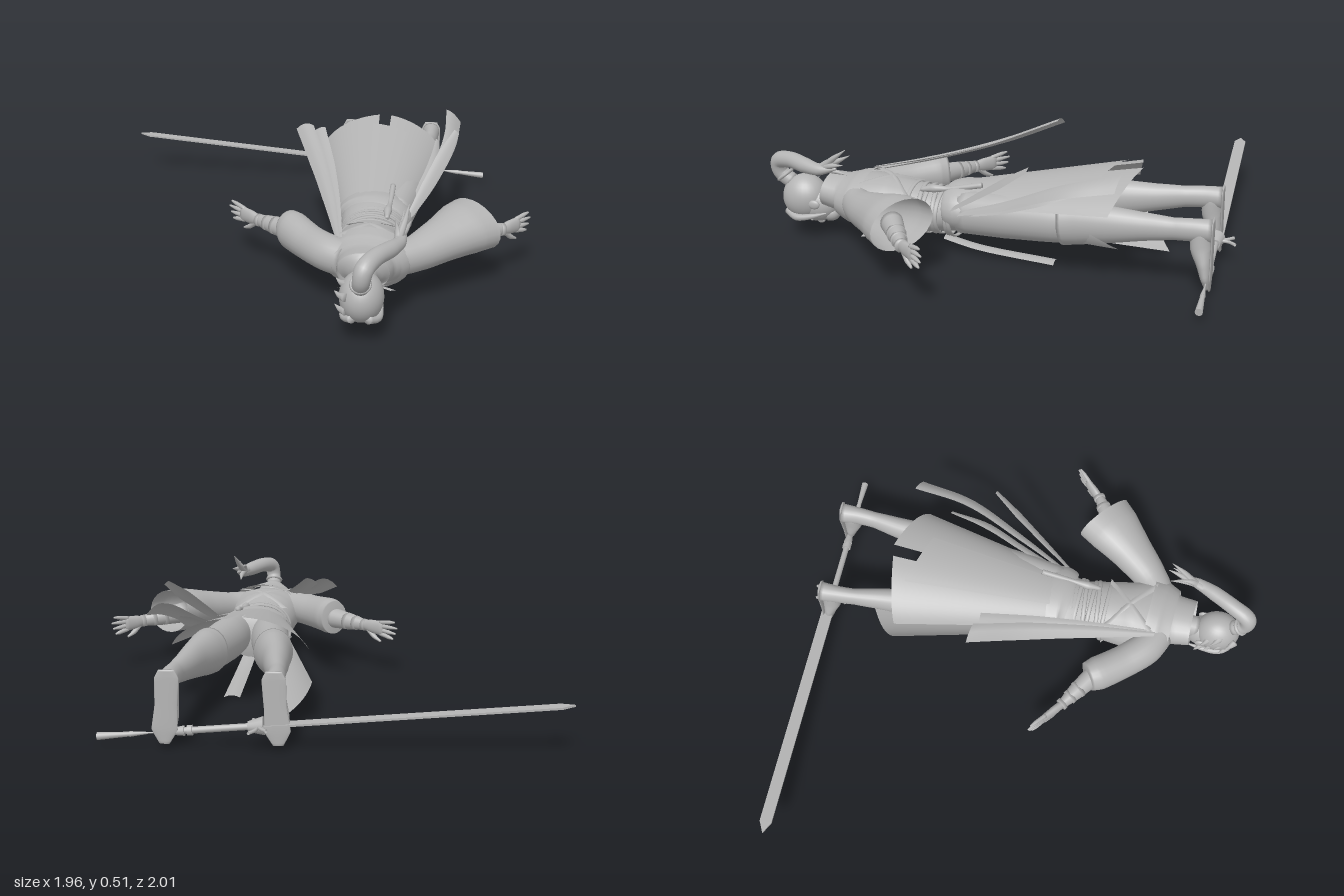
import * as THREE from 'three';

const V = (x, y, z) => new THREE.Vector3(x, y, z);

export function createModel() {
  const model = new THREE.Group();
  const clay = new THREE.MeshStandardMaterial({ color: 0xb4b4b4, side: THREE.DoubleSide });
  clay.name = 'plain grey';

  const add = (name, geo) => {
    const m = new THREE.Mesh(geo, clay);
    m.name = name;
    model.add(m);
    return m;
  };

  // Smooth grid surface from rows of points; closed wraps every row round.
  const skin = (rows, closed) => {
    const n = rows[0].length, index = [];
    for (let i = 0; i < rows.length - 1; i++) {
      for (let j = 0; j < (closed ? n : n - 1); j++) {
        const k = (j + 1) % n;
        const a = i * n + j, b = i * n + k, c = a + n, d = b + n;
        index.push(a, c, b, b, c, d);
      }
    }
    const g = new THREE.BufferGeometry().setFromPoints(rows.flat());
    g.setIndex(index);
    g.computeVertexNormals();
    return g;
  };

  // Tube of elliptical sections [x, y, z, width radius, height radius].
  const loft = (name, pts, { up = V(0, 1, 0), caps = true, seg = 24, steps = 5 } = {}) => {
    const curve = new THREE.CatmullRomCurve3(pts.map(p => V(p[0], p[1], p[2])));
    const last = pts.length - 1, rows = [];
    for (let i = 0; i <= last * steps; i++) {
      const u = i / (last * steps), k = Math.min(last - 1, Math.floor(u * last)), f = u * last - k;
      const c = curve.getPoint(u), t = curve.getTangent(u);
      const side = t.clone().cross(up).normalize(), top = side.clone().cross(t);
      const w = THREE.MathUtils.lerp(pts[k][3], pts[k + 1][3], f);
      const h = THREE.MathUtils.lerp(pts[k][4] ?? pts[k][3], pts[k + 1][4] ?? pts[k + 1][3], f);
      rows.push(Array.from({ length: seg }, (_, j) => {
        const a = j / seg * Math.PI * 2;
        return c.clone().addScaledVector(side, w * Math.cos(a)).addScaledVector(top, h * Math.sin(a));
      }));
      if (caps && i === 0) rows.unshift(rows[0].map(() => c.clone()));
      if (caps && i === last * steps) rows.push(rows[0].map(() => c.clone()));
    }
    return add(name, skin(rows, true));
  };

  // Flowing cloth strip through [x, y, z, half width], spread along a direction and sagging at its edges.
  const ribbon = (name, pts, dir, sag = 0.25) => {
    const curve = new THREE.CatmullRomCurve3(pts.map(p => V(p[0], p[1], p[2])));
    const last = pts.length - 1, rows = [];
    for (let i = 0; i <= 20; i++) {
      const u = i / 20, k = Math.min(last - 1, Math.floor(u * last));
      const w = THREE.MathUtils.lerp(pts[k][3], pts[k + 1][3], u * last - k), c = curve.getPoint(u);
      rows.push([-1, -0.5, 0, 0.5, 1].map(s =>
        c.clone().addScaledVector(dir, s * w).add(V(0, -sag * w * s * s, 0))));
    }
    return add(name, skin(rows, false));
  };

  const ball = (name, p, r) => {
    const m = add(name, new THREE.SphereGeometry(1, 28, 20));
    m.position.set(...p);
    m.scale.set(...r);
  };

  // Torso, lying face down with the back upward
  loft('torso', [
    [0.315, 0.2, 0.02, 0.14, 0.095], [0.315, 0.19, 0.14, 0.138, 0.095], [0.32, 0.175, 0.24, 0.122, 0.09],
    [0.32, 0.175, 0.34, 0.138, 0.108], [0.32, 0.18, 0.46, 0.155, 0.125], [0.32, 0.195, 0.56, 0.18, 0.11],
    [0.32, 0.2, 0.63, 0.13, 0.09], [0.32, 0.19, 0.68, 0.05, 0.055], [0.32, 0.18, 0.76, 0.045, 0.05]]);
  loft('mantle', [
    [0.33, 0.205, 0.53, 0.17, 0.122], [0.325, 0.205, 0.59, 0.17, 0.112], [0.32, 0.21, 0.65, 0.14, 0.09]], { caps: false });
  loft('collar', [
    [0.325, 0.21, 0.6, 0.155, 0.095], [0.32, 0.215, 0.66, 0.115, 0.082], [0.315, 0.225, 0.735, 0.105, 0.074]], { caps: false });

  // Belt wraps, chest bands and hip pendant
  loft('hipWrap', [[0.315, 0.2, 0.17, 0.142, 0.1], [0.32, 0.205, 0.13, 0.162, 0.108], [0.315, 0.205, 0.07, 0.16, 0.108]],
    { caps: false });
  [0.15, 0.18, 0.21, 0.24, 0.27, 0.3, 0.34].forEach((z, i) => {
    const w = 0.124 + Math.abs(z - 0.25) * 0.14;
    const band = add('beltWrap', new THREE.TorusGeometry(1, 0.045, 8, 48));
    band.scale.set(w, 0.096 + Math.abs(z - 0.22) * 0.09, 0.22);
    band.position.set(0.32, 0.175, z);
    band.rotation.y = (i % 2 ? 1 : -1) * 0.06;
  });
  for (const y of [0.302, 0.066]) {
    for (const s of [-1, 1]) {
      ribbon('chestBand', [[0.32 - 0.11 * s, y, 0.55, 0.016], [0.32, y + (y > 0.2 ? 0.008 : -0.012), 0.44, 0.016],
        [0.32 + 0.11 * s, y + (y > 0.2 ? -0.045 : 0.03), 0.34, 0.016]], V(1, 0, 0));
    }
  }
  loft('beltPendant', [[0.38, 0.275, 0.3, 0.008], [0.38, 0.285, 0.24, 0.018], [0.385, 0.29, 0.18, 0.01],
    [0.388, 0.305, 0.1, 0.012], [0.39, 0.32, 0.03, 0.012]], { seg: 12 });

  // Split skirt: slices of a widening elliptical cone
  const skirt = (name, a0, a1, end0, end1, grow = 1) => {
    const rows = [];
    for (let i = 0; i <= 14; i++) {
      rows.push(Array.from({ length: 13 }, (_, j) => {
        const a = THREE.MathUtils.degToRad(a0 + (a1 - a0) * j / 12);
        const z = 0.12 + (end0 + (end1 - end0) * j / 12 - 0.12) * i / 14;
        const f = (0.12 - z) / 0.74;
        return V(0.315 + (0.145 + 0.165 * f) * grow * Math.cos(a),
          0.2 + 0.035 * f + (0.1 + 0.1 * f) * grow * Math.sin(a), z);
      }));
    }
    add(name, skin(rows, false));
  };
  skirt('backSkirtLeft', 22, 85, -0.53, -0.63);
  skirt('backSkirtRight', 95, 160, -0.62, -0.57, 1.03);
  skirt('backSkirtCentre', 68, 114, -0.47, -0.55, 1.06);
  skirt('frontSkirtRight', 198, 250, -0.58, -0.73, 1.05);
  skirt('sideSkirtLeft', -28, 4, -0.57, -0.4, 0.85);
  ribbon('frontTail', [[0.36, 0.075, 0.2, 0.03], [0.37, 0.045, 0.05, 0.032], [0.38, 0.015, -0.28, 0.035]], V(1, 0, 0));

  // Loose sashes
  const slantL = V(0.75, -0.6, 0.2).normalize();
  ribbon('shoulderSash', [[0.2, 0.3, 0.57, 0.01], [0.14, 0.355, 0.3, 0.028], [0.06, 0.43, 0.02, 0.04],
    [-0.025, 0.512, -0.21, 0.042]], V(0.95, 0.3, 0.2), 0.4);
  ribbon('shoulderSash', [[0.21, 0.29, 0.56, 0.01], [0.165, 0.35, 0.3, 0.022], [0.11, 0.42, 0.05, 0.03],
    [0.045, 0.505, -0.18, 0.03]], V(0.85, 0.35, 0));
  ribbon('hipSash', [[0.46, 0.22, 0.16, 0.01], [0.53, 0.32, 0.02, 0.022], [0.6, 0.42, -0.12, 0.028],
    [0.655, 0.495, -0.23, 0.014]], slantL);
  ribbon('hipSash', [[0.45, 0.2, 0.16, 0.01], [0.55, 0.3, -0.1, 0.025], [0.625, 0.41, -0.35, 0.036],
    [0.64, 0.47, -0.58, 0.045]], slantL);
  ribbon('hipSash', [[0.45, 0.2, 0.14, 0.01], [0.51, 0.27, -0.08, 0.024], [0.56, 0.34, -0.26, 0.028],
    [0.57, 0.39, -0.42, 0.01]], slantL);

  // Legs, tall boots and pointed feet
  for (const s of [-1, 1]) {
    const at = d => 0.33 + s * d;
    loft('thigh', [[at(0.07), 0.2, 0.12, 0.075, 0.09], [at(0.095), 0.21, -0.08, 0.083, 0.095],
      [at(0.13), 0.22, -0.3, 0.075, 0.088], [at(0.145), 0.23, -0.4, 0.065, 0.08]]);
    loft('boot', [[at(0.135), 0.225, -0.33, 0.083, 0.098], [at(0.145), 0.232, -0.4, 0.073, 0.094],
      [at(0.165), 0.24, -0.52, 0.057, 0.077], [at(0.18), 0.25, -0.66, 0.045, 0.058],
      [at(0.195), 0.258, -0.78, 0.034, 0.045], [at(0.2), 0.262, -0.86, 0.036, 0.046], [at(0.2), 0.264, -0.93, 0.042, 0.046]]);
    loft('foot', [[at(0.2), 0.285, -0.9, 0.03, 0.033], [at(0.2), 0.25, -0.892, 0.038, 0.042],
      [at(0.203), 0.19, -0.892, 0.04, 0.043], [at(0.208), 0.13, -0.905, 0.047, 0.03],
      [at(0.214), 0.075, -0.915, 0.044, 0.021], [at(0.214), 0.03, -0.924, 0.02, 0.01]], { up: V(0, 0, 1) });
    loft('sole', [[at(0.2), 0.312, -0.934, 0.03, 0.005], [at(0.2), 0.28, -0.934, 0.046, 0.006],
      [at(0.205), 0.17, -0.934, 0.043, 0.006], [at(0.212), 0.08, -0.934, 0.05, 0.006],
      [at(0.214), 0.025, -0.932, 0.02, 0.005]], { up: V(0, 0, 1) });
  }

  // Right arm: puffed sleeve ending in a broad cuff
  loft('rightSleeve', [[0.24, 0.21, 0.59, 0.07, 0.075], [0.16, 0.215, 0.545, 0.075, 0.075],
    [0.08, 0.215, 0.46, 0.073, 0.075], [0, 0.22, 0.355, 0.075, 0.083], [-0.025, 0.22, 0.315, 0.064, 0.078]]);
  // Left arm: wide hanging sleeve, open at the wrist and tilted so its rear edge rides higher
  loft('leftSleeve', [[0.4, 0.21, 0.59, 0.06, 0.07], [0.5, 0.215, 0.52, 0.072, 0.072],
    [0.61, 0.235, 0.405, 0.1, 0.085], [0.69, 0.25, 0.315, 0.13, 0.098], [0.742, 0.253, 0.255, 0.142, 0.098]],
    { caps: false, up: V(0.15, 1, 0.15).normalize() });

  const hand = (side, shoulder, wrist, tip) => {
    const a = V(...shoulder), w = V(...wrist), t = V(...tip), d = t.clone().sub(w);
    const at = (k, dy, r, h) => [w.x + d.x * k, w.y + d.y * k + dy, w.z + d.z * k, r, h];
    const mid = a.clone().lerp(w, 0.6);
    loft(side + 'Forearm', [[a.x, a.y, a.z, 0.046, 0.048], [mid.x, mid.y, mid.z, 0.035, 0.037], at(0, 0, 0.02, 0.025)]);
    for (const k of [0.45, 0.7, 0.95]) {
      const c = a.clone().lerp(w, k), e = a.clone().lerp(w, k + 0.08), r = 0.05 - k * 0.024;
      loft(side + 'BracerBand', [[c.x, c.y, c.z, r, r], [e.x, e.y, e.z, r, r]], { steps: 1 });
    }
    loft(side + 'Palm', [at(-0.05, 0, 0.016, 0.02), at(0.2, 0, 0.018, 0.03), at(0.5, 0, 0.015, 0.034), at(0.58, 0, 0.01, 0.03)]);
    for (let i = 0; i < 4; i++) {
      const s = i - 1.5, reach = 1 - Math.abs(s - 0.3) * 0.07;
      loft(side + 'Finger', [at(0.48, s * 0.017, 0.01), at(0.75, s * 0.023, 0.009), at(reach, s * 0.026, 0.004)], { seg: 10 });
    }
    loft(side + 'Thumb', [at(0.1, -0.015, 0.012), at(0.3, -0.045, 0.011), at(0.5, -0.062, 0.005)], { seg: 10 });
  };
  hand('right', [-0.01, 0.215, 0.34], [-0.17, 0.21, 0.225], [-0.32, 0.21, 0.1]);
  hand('left', [0.68, 0.235, 0.32], [0.86, 0.215, 0.215], [0.98, 0.215, 0.095]);

  // Head with the face turned down
  ball('face', [0.32, 0.15, 0.8], [0.066, 0.08, 0.1]);
  ball('chin', [0.32, 0.11, 0.735], [0.038, 0.035, 0.04]);
  ball('nose', [0.32, 0.075, 0.785], [0.01, 0.016, 0.02]);
  ball('lips', [0.32, 0.082, 0.745], [0.02, 0.008, 0.008]);
  ball('hairCap', [0.32, 0.178, 0.852], [0.086, 0.1, 0.1]);
  for (const s of [-1, 1]) {
    ball('eye', [0.32 + s * 0.028, 0.085, 0.812], [0.014, 0.008, 0.008]);
    ball('ear', [0.32 + s * 0.07, 0.165, 0.785], [0.01, 0.02, 0.026]);
    loft('sideLock', [[0.32 + s * 0.03, 0.115, 0.925, 0.016], [0.32 + s * 0.065, 0.1, 0.87, 0.016],
      [0.32 + s * 0.07, 0.11, 0.8, 0.012], [0.32 + s * 0.068, 0.13, 0.73, 0.003]], { seg: 12 });
  }
  for (let i = 0; i < 7; i++) {
    const z = 0.78 + i * 0.022, y = 0.14 + (i * 3 % 5) * 0.022;
    loft('hairSpike', [[0.265, y, z + 0.02, 0.018], [0.24, y, z, 0.01], [0.22, y + 0.008, z - 0.02, 0.001]], { seg: 8 });
  }

  // Ponytail and its loose ends
  loft('ponytail', [[0.32, 0.24, 0.91, 0.034], [0.325, 0.285, 0.962, 0.034], [0.335, 0.335, 0.96, 0.037],
    [0.37, 0.355, 0.89, 0.035], [0.42, 0.352, 0.8, 0.033], [0.455, 0.35, 0.72, 0.024], [0.47, 0.365, 0.64, 0.005]],
    { up: V(1, 0, 0) });
  const tie = add('hairTie', new THREE.TorusGeometry(0.034, 0.008, 8, 24));
  tie.position.set(0.322, 0.268, 0.943);
  tie.rotation.x = -0.9;
  [[0.48, 0.455, 0.59], [0.46, 0.425, 0.58], [0.49, 0.39, 0.6], [0.43, 0.4, 0.63], [0.45, 0.335, 0.6]].forEach(([x, y, z]) =>
    loft('hairWisp', [[0.415, 0.352, 0.81, 0.02], [0.445, 0.358, 0.72, 0.017],
      [(x + 0.455) / 2, y * 0.5 + 0.182, z + 0.06, 0.012], [x, y, z, 0.001]], { seg: 8 }));

  // Sword lying across the soles, built along its own x axis
  const sword = new THREE.Group();
  sword.name = 'sword';
  const put = (name, geo, x, y = 0) => {
    const m = add(name, geo);
    m.position.set(x, y, 0);
    sword.add(m);
  };
  const tipShape = new THREE.Shape([[-1.17, 0], [-1.12, 0.026], [0, 0.026], [0, -0.026], [-1.12, -0.026]]
    .map(p => new THREE.Vector2(...p)));
  const blade = new THREE.ExtrudeGeometry(tipShape, { depth: 0.008, bevelEnabled: false });
  put('blade', blade.rotateX(Math.PI / 2), 0.01, 0.004);
  const rod = (name, x0, x1, r0, r1) =>
    put(name, new THREE.CylinderGeometry(r1, r0, x1 - x0, 16).rotateZ(-Math.PI / 2), (x0 + x1) / 2);
  rod('guardCore', -0.01, 0.05, 0.036, 0.02);
  rod('grip', 0.05, 0.29, 0.013, 0.013);
  rod('pommelRing', 0.26, 0.28, 0.02, 0.02);
  rod('pommel', 0.29, 0.36, 0.02, 0.01);
  rod('tasselCord', 0.36, 0.47, 0.003, 0.003);
  rod('tassel', 0.43, 0.5, 0.004, 0.011);
  rod('tassel', 0.5, 0.625, 0.009, 0.015);
  for (const s of [-1, 1]) {
    for (const [bend, r] of [[0.04, 0.05], [-0.025, 0.04]]) {
      const prong = new THREE.CatmullRomCurve3([V(0.015, 0, 0), V(0.005 + bend * 0.3, 0, s * r), V(bend, 0, s * (r + 0.03))]);
      put('guardProng', new THREE.TubeGeometry(prong, 8, 0.007, 8), 0);
    }
  }
  sword.position.set(0.18, 0.098, -0.92);
  sword.rotation.z = -0.087;
  model.add(sword);

  return model;
}
